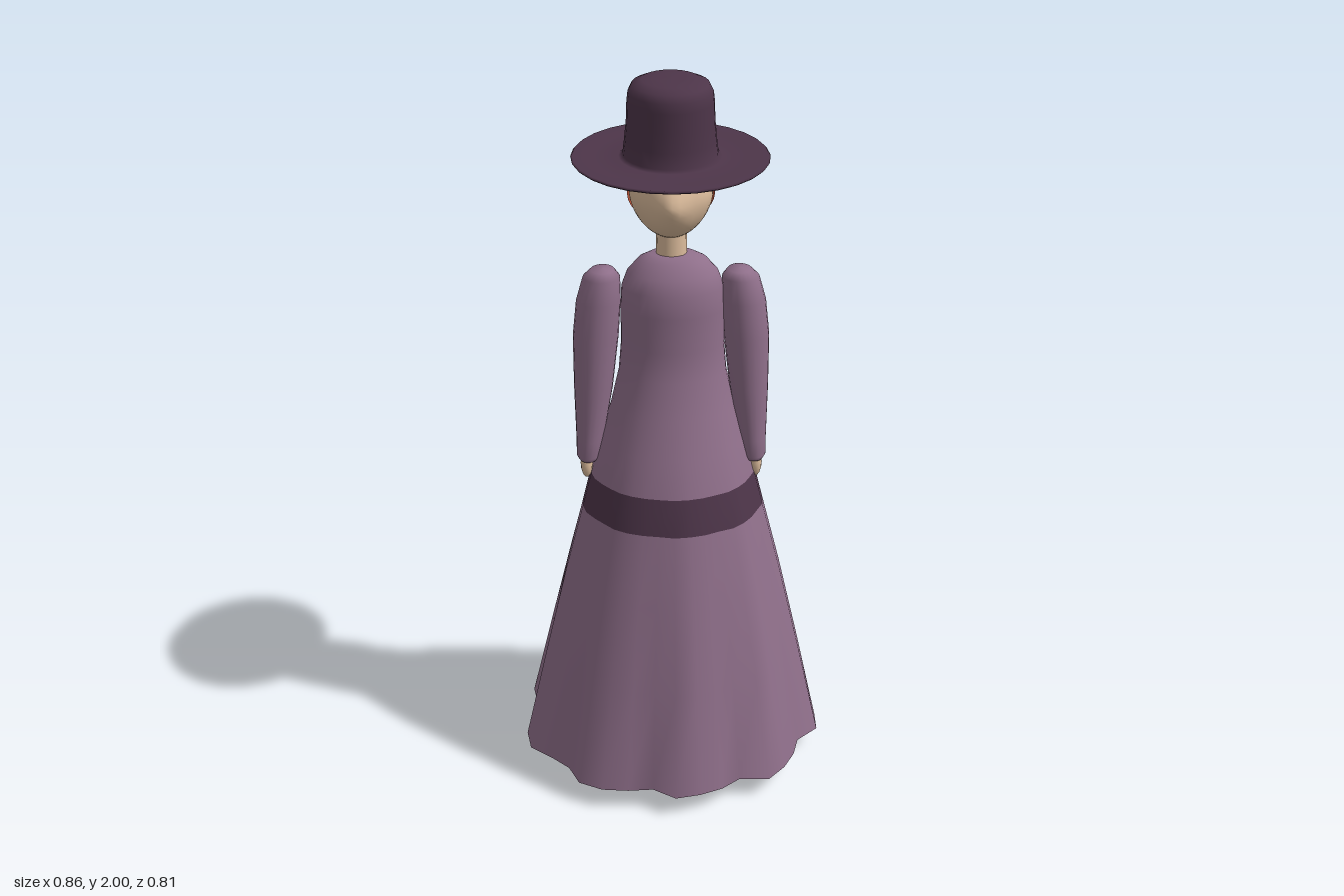
import * as THREE from 'three';

const mat = (name, color, side = THREE.FrontSide) => {
  const m = new THREE.MeshStandardMaterial({ color, side });
  m.name = name;
  return m;
};

// Smooth skin through rings [y, cx, cz, rx, rz] listed from top to bottom.
// swell(i, y) scales the radius of corner i; bandRow gets the second material.
function loft(rings, n, swell = () => 1, bandRow = -1) {
  const pos = [], index = [], g = new THREE.BufferGeometry();
  for (const [y, cx, cz, rx, rz] of rings) {
    for (let i = 0; i < n; i++) {
      const a = (i / n) * Math.PI * 2, k = swell(i, y);
      pos.push(cx + rx * k * Math.sin(a), y, cz + rz * k * Math.cos(a));
    }
  }
  for (let r = 0; r < rings.length - 1; r++) {
    g.addGroup(index.length, n * 6, r === bandRow ? 1 : 0);
    for (let i = 0; i < n; i++) {
      const j = (i + 1) % n, a = r * n + i, b = a + n, c = (r + 1) * n + j, d = r * n + j;
      index.push(a, b, d, b, c, d);
    }
  }
  g.setAttribute('position', new THREE.Float32BufferAttribute(pos, 3));
  g.setIndex(index);
  g.computeVertexNormals();
  return g;
}

export function createModel() {
  const model = new THREE.Group();
  model.name = 'womanInHat';
  const mauve = mat('mauve cloth', 0x8f6f8a, THREE.DoubleSide);
  const plum = mat('plum cloth', 0x4d3549, THREE.DoubleSide);
  const skin = mat('skin', 0xdcbc9c);
  const red = mat('red hair', 0xa84a32, THREE.DoubleSide);
  const black = mat('black leather', 0x262626);

  const add = (name, geometry, material, x = 0, y = 0, z = 0) => {
    const m = new THREE.Mesh(geometry, material);
    m.name = name;
    m.position.set(x, y, z);
    model.add(m);
    return m;
  };

  // Dress: smooth bodice, folds growing towards an uneven hem, dark band
  const hem = [405, 368, 390, 415, 425, 397, 410, 446, 440, 420, 416, 453, 434, 414, 396, 434, 408, 388,
    375, 416, 400, 386, 390, 430, 423, 397, 410, 430, 435, 390, 403, 413, 418, 368, 386, 396];
  const folds = (i, y) => {
    const w = Math.max(0, (1.05 - y) / 0.99);
    return 1 + w * (hem[(36 - i) % 36] / 410 - 1);
  };
  const dressRings = [
    [1.532, 0, 0], [1.53, 0.06, 0.045], [1.515, 0.09, 0.068], [1.48, 0.122, 0.095], [1.44, 0.137, 0.11],
    [1.38, 0.14, 0.116], [1.28, 0.14, 0.11], [1.2, 0.147, 0.122], [1.1, 0.17, 0.15], [1.0, 0.2, 0.185],
    [0.9, 0.228, 0.219], [0.8, 0.252, 0.246], [0.6, 0.3, 0.295], [0.35, 0.353, 0.35], [0.06, 0.41, 0.41],
  ].map(([y, rx, rz]) => [y, 0, 0, rx, rz]);
  add('dress', loft(dressRings, 36, folds, 10), [mauve, plum]);

  // Sleeves, hands, legs and shoes
  for (const s of [1, -1]) {
    const side = s > 0 ? 'left' : 'right';
    const sleeve = [
      [1.488, 0.183, 0.004, 0, 0], [1.485, 0.183, 0.004, 0.032, 0.042], [1.465, 0.186, 0.004, 0.05, 0.059],
      [1.4, 0.195, 0.005, 0.06, 0.065], [1.3, 0.204, 0.006, 0.062, 0.065], [1.15, 0.213, 0.01, 0.053, 0.058],
      [1.0, 0.225, 0.015, 0.038, 0.049], [0.95, 0.23, 0.018, 0.033, 0.043], [0.937, 0.23, 0.018, 0.026, 0.035],
      [0.935, 0.23, 0.018, 0, 0],
    ].map(([y, x, z, rx, rz]) => [y, s * x - 0.004, z, rx, rz]);
    add(side + 'Sleeve', loft(sleeve, 20), mauve);

    const hand = new THREE.SphereGeometry(1, 12, 8).scale(0.017, 0.042, 0.021);
    add(side + 'Hand', hand, skin, s * 0.236 - 0.004, 0.924, 0.025);

    add(side + 'Leg', new THREE.CylinderGeometry(0.062, 0.04, 0.6, 16), black, s * 0.09 - 0.005, 0.35, -0.01);
    const shoe = new THREE.SphereGeometry(1, 18, 12).scale(0.046, 0.04, 0.098);
    add(side + 'Shoe', shoe, black, s * 0.09 - 0.005, 0.04, 0.033);
  }

  // Neck
  add('neck', new THREE.CylinderGeometry(0.04, 0.042, 0.13, 16), skin, -0.003, 1.565, 0);

  // Head: ellipsoid with a tapered jaw and the face drawn out into a nose
  const head = new THREE.SphereGeometry(1, 32, 24).scale(0.11, 0.115, 0.118);
  const p = head.attributes.position;
  for (let i = 0; i < p.count; i++) {
    const x = p.getX(i), y = p.getY(i), z = p.getZ(i);
    if (y < 0) p.setX(i, x * (1 + 1.2 * y));
    if (z > 0) {
      const nose = Math.max(0, 1 - Math.abs(x) / 0.06) * Math.max(0, 1 - Math.abs(y + 0.01) / 0.085);
      p.setZ(i, z + 0.03 * nose);
    }
  }
  head.computeVertexNormals();
  add('head', head, skin, -0.004, 1.69, -0.002);

  // Hair: half shell over the back of the head
  const hair = new THREE.SphereGeometry(1, 32, 12, 0, Math.PI * 2, 0, Math.PI / 2);
  hair.rotateX(-1.01).scale(0.115, 0.118, 0.127);
  add('hair', hair, red, -0.004, 1.69, -0.002);

  // Hat: brim and crown in one turned profile, tipped forward
  const profile = [
    [0.11, -0.006], [0.2, -0.006], [0.256, -0.002], [0.26, 0.002], [0.256, 0.006], [0.2, 0.002], [0.135, 0.003],
    [0.125, 0.01], [0.12, 0.05], [0.115, 0.1], [0.113, 0.15], [0.11, 0.175], [0.1, 0.195], [0.075, 0.206],
    [0.04, 0.209], [0, 0.21],
  ].map(([r, y]) => new THREE.Vector2(r, y));
  const hat = add('hat', new THREE.LatheGeometry(profile, 28).scale(1, 1, 1.04), plum, -0.005, 1.786, -0.012);
  hat.rotation.x = 0.085;

  return model;
}
